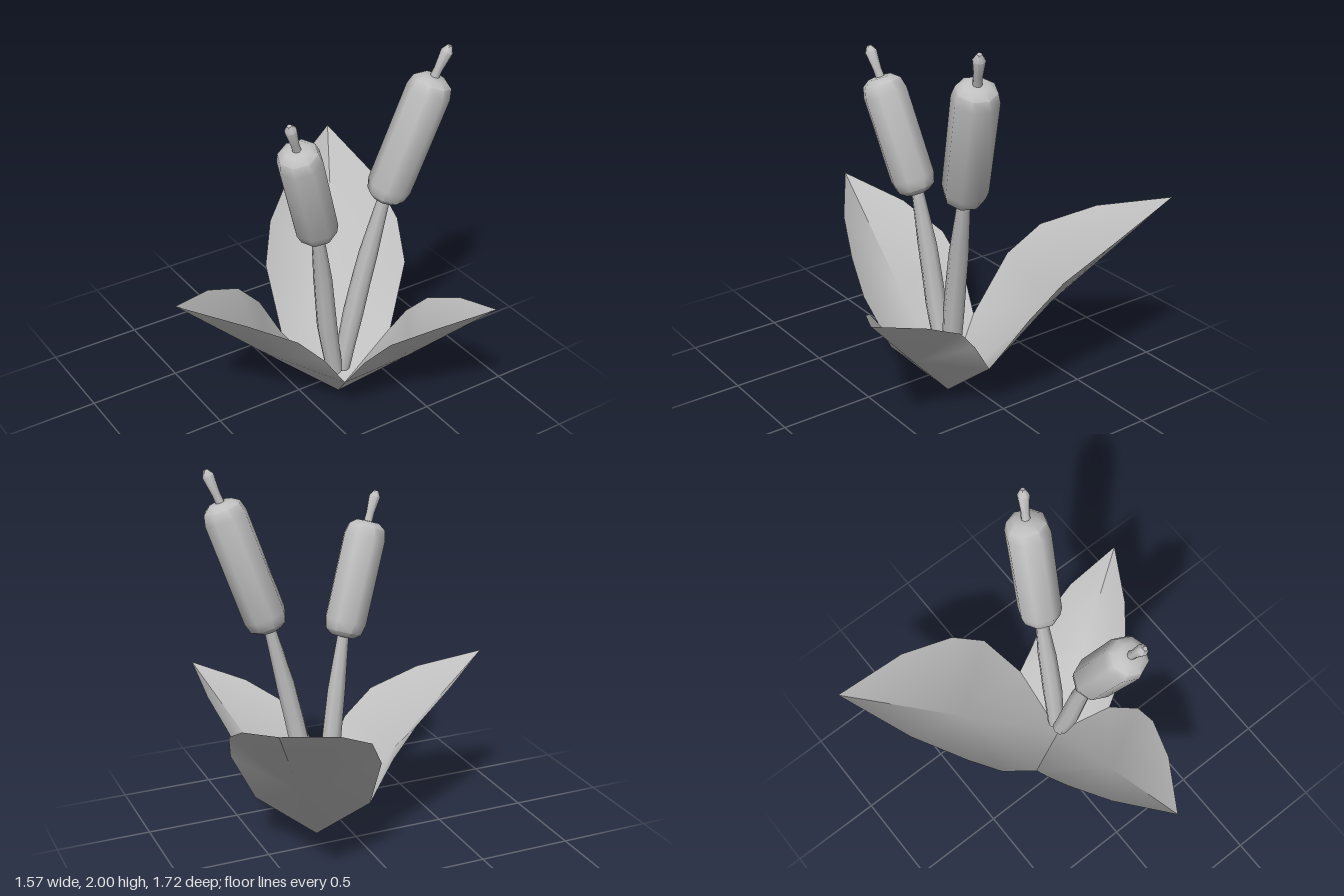
import * as THREE from 'three';
import { toCreasedNormals } from 'three/addons/utils/BufferGeometryUtils.js';

const V = (a) => new THREE.Vector3(...a);
const ROOT = [0.18, 0, 0.12];

// Notches where neighbouring leaves meet
const NOTCH = { rightBack: [0, 0.28, -0.18], rightFront: [0.04, 0.275, 0.38], frontBack: [0.525, 0.285, 0.115] };

// Cupped leaf: a fan of faces from a low centre to the raised rim, tip split for a sharp fold
function leafGeometry({ angle, length, height, width, near, far }) {
  const a = THREE.MathUtils.degToRad(angle);
  const at = (u, y, w) => {
    const x = u * length, z = w * width;
    return [ROOT[0] + x * Math.cos(a) + z * Math.sin(a), y * height, ROOT[2] - x * Math.sin(a) + z * Math.cos(a)];
  };
  const rim = [[0.315, 0.565, 1], [0.465, 0.735, 0.92], [0.705, 0.875, 0.605]];
  const side = (s) => rim.map(([u, y, w]) => at(u, y, s * w));
  const tip = at(1, 1, 0);
  const points = [at(0.47, 0.465, 0), ROOT, near, ...side(1), tip, tip, ...side(-1).reverse(), far];
  const index = [];
  for (let i = 1; i < points.length; i++) {
    if (i !== 6) index.push(0, i, i === points.length - 1 ? 1 : i + 1);
  }
  const g = new THREE.BufferGeometry();
  g.setAttribute('position', new THREE.Float32BufferAttribute(points.flat(), 3));
  g.setIndex(index);
  g.computeVertexNormals();
  return g;
}

// Tapered tube along a path, one radius per path point
function stemGeometry(path, radii) {
  const rings = 6, sides = 8;
  const curve = new THREE.CatmullRomCurve3(path.map(V));
  const g = new THREE.TubeGeometry(curve, rings, 1, sides);
  const pos = g.attributes.position, p = new THREE.Vector3();
  for (let i = 0; i < pos.count; i++) {
    const t = Math.floor(i / (sides + 1)) / rings;
    const k = t * (radii.length - 1), j = Math.min(Math.floor(k), radii.length - 2);
    const r = THREE.MathUtils.lerp(radii[j], radii[j + 1], k - j);
    const c = curve.getPointAt(t);
    p.fromBufferAttribute(pos, i).sub(c).multiplyScalar(r).add(c);
    pos.setXYZ(i, p.x, p.y, p.z);
  }
  return g;
}

function lathe(profile) {
  const g = new THREE.LatheGeometry(profile.map(([r, y]) => new THREE.Vector2(r, y)), 8);
  return toCreasedNormals(g, 0.85);
}

export function createModel() {
  const model = new THREE.Group();
  model.name = 'cattailPlant';
  const grey = new THREE.MeshStandardMaterial({ color: 0xc0c0c0, side: THREE.DoubleSide });
  grey.name = 'plainGrey';

  const add = (parent, name, geometry) => {
    const mesh = new THREE.Mesh(geometry, grey);
    mesh.name = name;
    parent.add(mesh);
    return mesh;
  };

  // Three leaves spreading from one root point and joined at their notches
  add(model, 'rightLeaf', leafGeometry({
    angle: 180, length: 0.97, height: 0.91, width: 0.316, near: NOTCH.rightBack, far: NOTCH.rightFront,
  }));
  add(model, 'backLeaf', leafGeometry({
    angle: 59.8, length: 1.134, height: 1.055, width: 0.383, near: NOTCH.frontBack, far: NOTCH.rightBack,
  }));
  add(model, 'frontLeaf', leafGeometry({
    angle: -59.8, length: 0.858, height: 0.8, width: 0.265, near: NOTCH.rightFront, far: NOTCH.frontBack,
  }));

  // Two cattails: curved stem, seed head and end spike
  const cattails = [
    {
      name: 'leftCattail', bottom: [0.395, 1.17, 0.183], top: [0.612, 1.838, 0.272], tip: [0.67, 2, 0.305],
      stem: [[0.2, 0.15, 0.115], [0.245, 0.45, 0.135], [0.308, 0.78, 0.155], [0.405, 1.21, 0.185]],
    },
    {
      name: 'rightCattail', bottom: [0, 1.08, 0.18], top: [-0.188, 1.66, 0.27], tip: [-0.245, 1.81, 0.295],
      stem: [[0.155, 0.15, 0.115], [0.095, 0.45, 0.13], [0.052, 0.76, 0.15], [-0.01, 1.12, 0.18]],
    },
  ];
  for (const { name, bottom, top, tip, stem } of cattails) {
    const group = new THREE.Group();
    group.name = name;
    model.add(group);
    add(group, 'stem', stemGeometry(stem, [0.046, 0.055, 0.05, 0.03]));

    // Stand a lathed part between two points
    const place = (part, from, to, profile) => {
      const axis = V(to).sub(V(from));
      const h = axis.length();
      const mesh = add(group, part, lathe(profile(h)));
      mesh.position.copy(V(from));
      mesh.quaternion.setFromUnitVectors(new THREE.Vector3(0, 1, 0), axis.normalize());
    };
    place('seedHead', bottom, top, (h) => [
      [0, 0], [0.063, 0.003], [0.1, 0.03], [0.115, 0.085],
      [0.115, h - 0.085], [0.1, h - 0.03], [0.063, h - 0.003], [0, h],
    ]);
    place('spike', top, tip, (h) => [[0.023, -0.01], [0.022, h * 0.25], [0.031, h * 0.8], [0.012, h * 0.99], [0, h]]);
  }
  return model;
}
